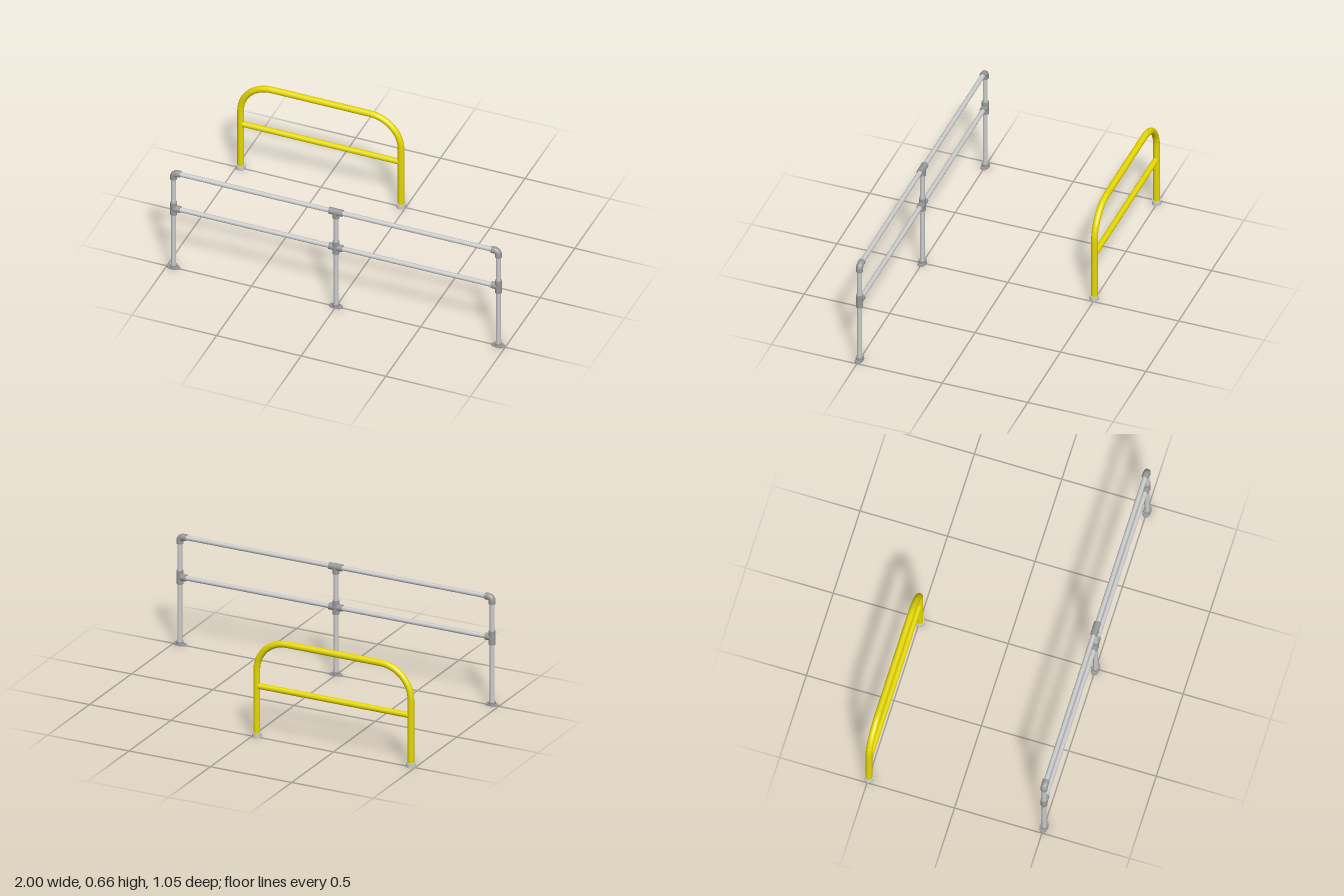
import * as THREE from 'three';

const steel = new THREE.MeshStandardMaterial({ color: 0xcccccc });
const fitting = new THREE.MeshStandardMaterial({ color: 0x999999 });
const yellow = new THREE.MeshStandardMaterial({ color: 0xe6d800 });
const V = (x, y) => new THREE.Vector3(x, y, 0);

function add(parent, name, geometry, material) {
  const mesh = new THREE.Mesh(geometry, material);
  mesh.name = name;
  parent.add(mesh);
  return mesh;
}

// Straight round bar between two points in the XY plane
function bar(parent, name, x0, y0, x1, y1, radius, material) {
  const length = Math.hypot(x1 - x0, y1 - y0);
  const mesh = add(parent, name, new THREE.CylinderGeometry(radius, radius, length, 32), material);
  mesh.position.set((x0 + x1) / 2, (y0 + y1) / 2, 0);
  mesh.rotation.z = Math.atan2(y1 - y0, x1 - x0) - Math.PI / 2;
  return mesh;
}

// Bent tube: straight runs joined by circular bends at the inner points
function bentTube(parent, name, points, bend, radius, material) {
  const path = new THREE.CurvePath();
  let start = points[0];
  for (let i = 1; i < points.length - 1; i++) {
    const corner = points[i];
    const before = points[i - 1].clone().sub(corner).setLength(bend).add(corner);
    const after = points[i + 1].clone().sub(corner).setLength(bend).add(corner);
    const centre = before.clone().add(after).sub(corner);
    const arc = [];
    for (let k = 0; k <= 16; k++) {
      const a = (k / 16) * Math.PI / 2;
      arc.push(centre.clone()
        .addScaledVector(before.clone().sub(centre), Math.cos(a))
        .addScaledVector(after.clone().sub(centre), Math.sin(a)));
    }
    path.add(new THREE.LineCurve3(start, before));
    for (let k = 0; k < 16; k++) path.add(new THREE.LineCurve3(arc[k], arc[k + 1]));
    start = after;
  }
  path.add(new THREE.LineCurve3(start, points[points.length - 1]));
  return add(parent, name, new THREE.TubeGeometry(path, 160, radius, 28, false), material);
}

function createHandrail() {
  const rail = new THREE.Group();
  rail.name = 'handrail';
  const R = 0.0135, F = 0.0195, span = 0.96, topY = 0.638, midY = 0.4, reach = 0.04;

  bar(rail, 'topRail', -span + 0.03, topY, span - 0.03, topY, R, steel);
  bar(rail, 'middleRail', -span, midY, span, midY, R, steel);

  for (const side of [-1, 0, 1]) {
    const x = side * span;
    bar(rail, 'post', x, 0.004, x, topY - (side ? 0.03 : 0), R, steel);

    // Oval floor flange with a collar
    const plate = add(rail, 'basePlate', new THREE.CylinderGeometry(0.0225, 0.0235, 0.008, 40), fitting);
    plate.scale.x = 1.7;
    plate.position.set(x, 0.004, 0);
    bar(rail, 'baseCollar', x, 0.004, x, 0.021, 0.0205, fitting);

    // Middle fitting: tee at the ends, cross at the centre
    bar(rail, 'middleSleeve', x, midY - reach, x, midY + reach, F, fitting);
    bar(rail, 'middleBranch', side > 0 ? x - reach : x, midY, side < 0 ? x + reach : x, midY, F, fitting)
      .visible = side !== 0;
    if (side === 0) bar(rail, 'crossBranch', -reach, midY, reach, midY, F, fitting);

    // Top fitting: elbow at the ends, tee at the centre
    if (side === 0) {
      bar(rail, 'topTee', -reach, topY, reach, topY, F, fitting);
      bar(rail, 'topTeeStem', 0, topY - reach, 0, topY, F, fitting);
    } else {
      const inner = x - side * reach;
      bentTube(rail, 'elbow', [V(x, topY - reach), V(x, topY), V(inner, topY)], 0.024, F, fitting);
      // Closed ends of the elbow
      bar(rail, 'elbowLowerRim', x, topY - reach, x, topY - reach + 0.003, F, fitting);
      bar(rail, 'elbowInnerRim', inner, topY, inner + side * 0.003, topY, F, fitting);
    }
  }
  return rail;
}

function createHoop() {
  const hoop = new THREE.Group();
  hoop.name = 'hoopBarrier';
  const half = 0.474, topY = 0.578;
  bentTube(hoop, 'hoopTube',
    [V(-half, 0.01), V(-half, topY), V(half, topY), V(half, 0.01)], 0.185, 0.0185, yellow);
  bar(hoop, 'crossBar', -half, 0.302, half, 0.302, 0.0165, yellow);
  for (const side of [-1, 1]) bar(hoop, 'footSocket', side * half, 0, side * half, 0.025, 0.026, steel);
  return hoop;
}

export function createModel() {
  const model = new THREE.Group();
  model.name = 'safetyRailings';
  const handrail = createHandrail();
  handrail.position.z = 0.5;
  const hoop = createHoop();
  hoop.position.set(-0.5, 0, -0.497);
  model.add(handrail, hoop);
  return model;
}
